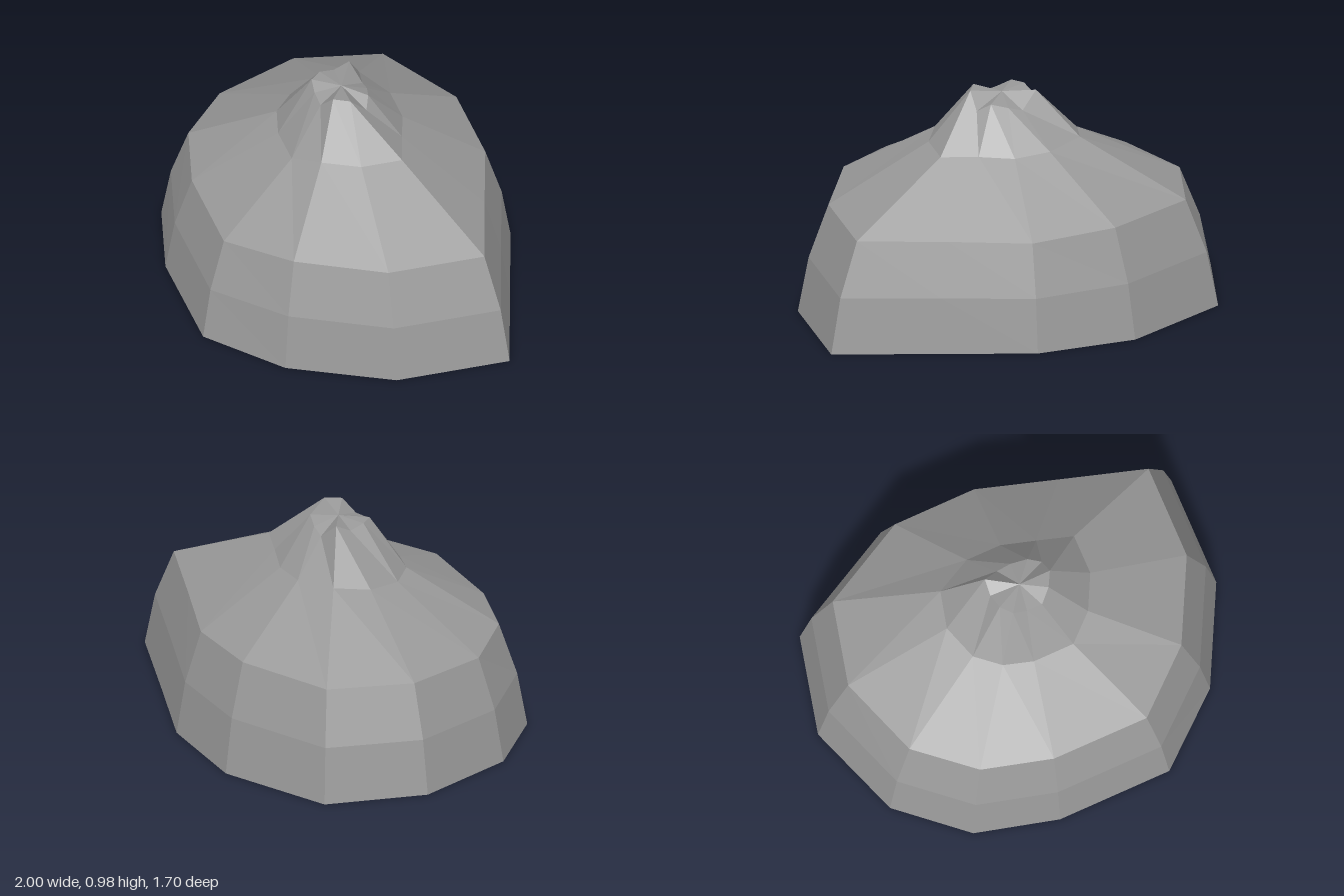
import * as THREE from 'three';

// Hub axis of the radial hill
const CX = -0.08, CZ = -0.01;

// Ground outline (x, z), going round from +x towards +z
const outline = [
  [1, -0.01], [0.75, 0.45], [0.34, 0.745], [-0.08, 0.85],
  [-0.565, 0.615], [-0.86, 0.355], [-1, -0.01], [-0.93, -0.48],
  [-0.62, -0.835], [-0.08, -0.85], [0.34, -0.655], [0.66, -0.34],
];

// Heights of the shoulder, neck and jagged summit at each spoke
const shoulderY = [0.5, 0.5, 0.505, 0.47, 0.475, 0.485, 0.475, 0.49, 0.5, 0.505, 0.485, 0.495];
const neckY = [0.75, 0.75, 0.75, 0.71, 0.71, 0.725, 0.72, 0.74, 0.765, 0.75, 0.74, 0.75];
const summit = [
  [0.08, 0.905, -0.01], [0.05, 0.975, 0.06], [-0.015, 0.975, 0.105], [-0.08, 0.915, 0.12],
  [-0.15, 0.93, 0.09], [-0.205, 0.955, 0.055], [-0.22, 0.955, -0.01], [-0.2, 0.94, -0.08],
  [-0.165, 0.975, -0.14], [-0.08, 0.9, -0.14], [-0.02, 0.92, -0.11], [0.04, 0.94, -0.06],
];

// Outline shrunk towards the hub, lifted to a height per spoke
const ring = (scale, height) => outline.map(([x, z], i) =>
  [CX + (x - CX) * scale, height(i), CZ + (z - CZ) * scale]);

// Flat-faceted skin through a stack of rings, optionally closed at an apex
function skin(rings, apex) {
  const pos = [];
  const tri = (a, b, c) => pos.push(...a, ...b, ...c);
  const n = outline.length;
  for (let i = 0; i < n; i++) {
    const j = (i + 1) % n;
    for (let r = 0; r + 1 < rings.length; r++) {
      const lo = rings[r], hi = rings[r + 1];
      tri(lo[i], hi[i], hi[j]);
      tri(lo[i], hi[j], lo[j]);
    }
    const top = rings[rings.length - 1];
    if (apex) tri(top[i], apex, top[j]);
  }
  const g = new THREE.BufferGeometry();
  g.setAttribute('position', new THREE.Float32BufferAttribute(pos, 3));
  g.computeVertexNormals();
  return g;
}

export function createModel() {
  const stone = new THREE.MeshStandardMaterial({ color: 0x999999, side: THREE.DoubleSide, flatShading: true });
  stone.name = 'grey stone';
  const group = new THREE.Group();
  group.name = 'rockMound';
  const add = (name, geometry) => {
    const mesh = new THREE.Mesh(geometry, stone);
    mesh.name = name;
    group.add(mesh);
  };

  const base = ring(1, () => 0);
  const middle = ring(0.947, (i) => shoulderY[i] * 0.51);
  const shoulder = ring(0.85, (i) => shoulderY[i]);
  const neck = ring(0.36, (i) => neckY[i]);

  add('sideWall', skin([base, middle, shoulder])); // open underneath
  add('slope', skin([shoulder, neck, summit]));
  add('summitCrater', skin([summit], [CX, 0.955, CZ]));
  return group;
}
